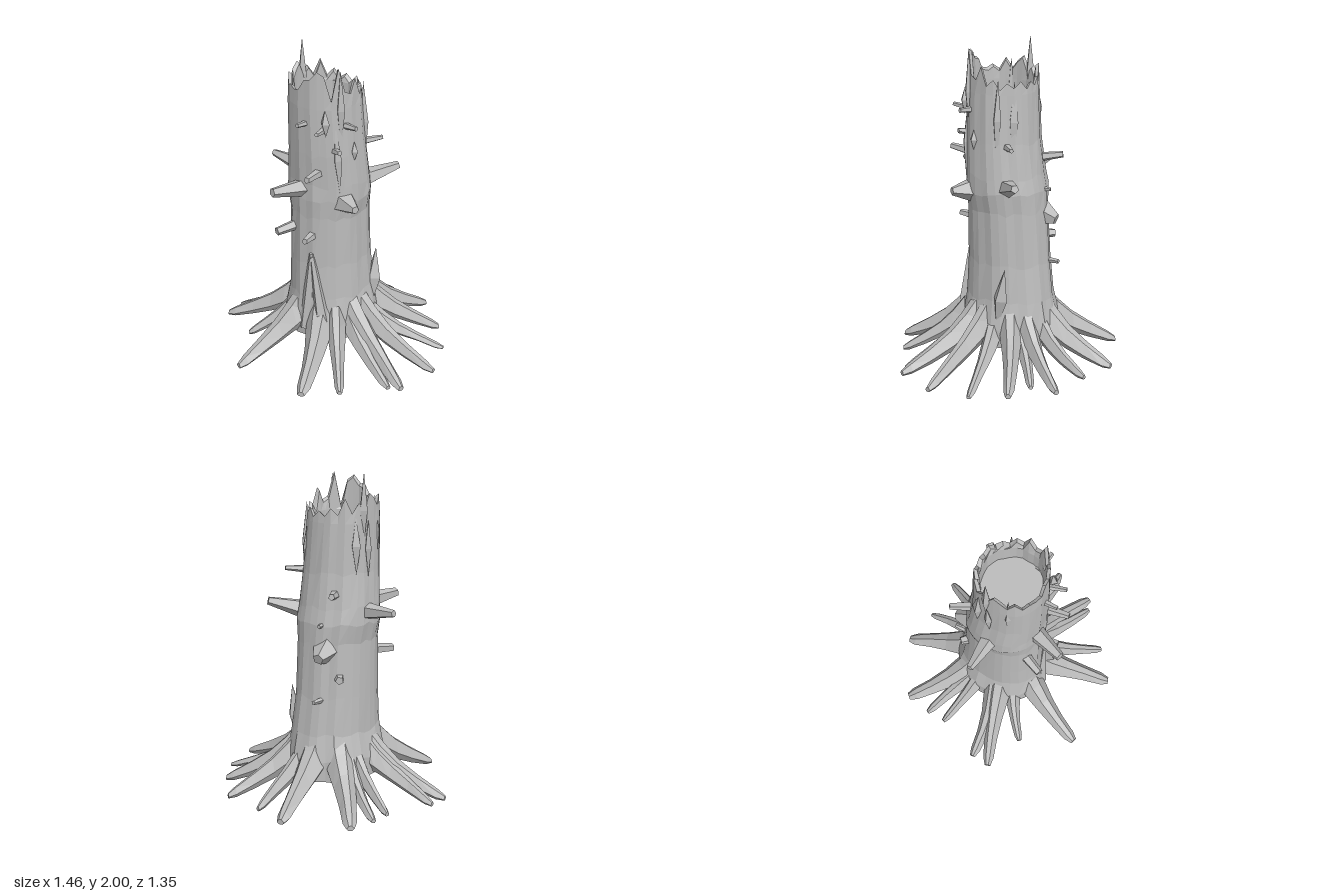
import * as THREE from 'three';

const wood = new THREE.MeshStandardMaterial({ color: 0xbcbcbc, flatShading: true });
wood.name = 'grey wood';
const V = (x, y, z) => new THREE.Vector3(x, y, z);

// Repeatable pseudo-random value in -1..1
const noise = (n) => {
  const s = Math.sin(n * 127.1 + 3.7) * 43758.5453;
  return (s - Math.floor(s)) * 2 - 1;
};

// Skin a series of equal-length rings and close both ends
function loft(rings) {
  const middle = (ring) => {
    const c = V(0, 0, 0);
    ring.forEach((p) => c.add(p));
    c.divideScalar(ring.length);
    return ring.map(() => c);
  };
  const rows = [middle(rings[0]), ...rings, middle(rings[rings.length - 1])];
  const pos = [];
  const tri = (...p) => {
    if (p[0] !== p[1] && p[1] !== p[2] && p[0] !== p[2]) p.forEach((q) => pos.push(q.x, q.y, q.z));
  };
  for (let r = 0; r < rows.length - 1; r++) {
    for (let i = 0; i < rows[r].length; i++) {
      const j = (i + 1) % rows[r].length;
      tri(rows[r][i], rows[r + 1][i], rows[r][j]);
      tri(rows[r][j], rows[r + 1][i], rows[r + 1][j]);
    }
  }
  const g = new THREE.BufferGeometry();
  g.setAttribute('position', new THREE.Float32BufferAttribute(pos, 3));
  g.computeVertexNormals();
  return g;
}

// Hollow trunk with a flared foot and broken, spiky rim
function trunkGeometry() {
  const N = 32;
  const rim = [1.86, 1.78, 1.8, 1.95, 1.75, 1.9, 1.93, 1.88, 1.87, 1.8, 1.79, 1.81, 1.78, 1.85, 1.79, 1.84,
    1.87, 1.78, 1.82, 1.76, 1.85, 1.75, 1.79, 1.74, 1.77, 1.73, 1.78, 1.74, 1.77, 1.73, 1.79, 1.75];
  // y, min x, max x, min z, max z
  const levels = [
    [0.14, -0.34, 0.23, -0.33, 0.3],
    [0.26, -0.335, 0.225, -0.325, 0.305],
    [0.42, -0.295, 0.195, -0.295, 0.285],
    [0.65, -0.29, 0.18, -0.265, 0.27],
    [0.98, -0.285, 0.18, -0.24, 0.265],
    [1.1, -0.305, 0.2, -0.235, 0.27],
    [1.2, -0.3, 0.195, -0.215, 0.265],
    [1.4, -0.28, 0.18, -0.185, 0.27],
    [1.7, -0.275, 0.16, -0.165, 0.27],
    ['rim', -0.27, 0.155, -0.16, 0.265],
    ['rim', -0.25, 0.135, -0.14, 0.245],
    [1.72, -0.245, 0.125, -0.13, 0.24],
    [1.6, -0.24, 0.12, -0.125, 0.235],
  ];
  return loft(levels.map(([y, x0, x1, z0, z1], k) =>
    rim.map((top, i) => {
      const a = (i / N) * Math.PI * 2;
      const bark = 1 + 0.025 * noise(i) + 0.008 * noise(i + k * 40);
      const h = y === 'rim' ? top - (k === 10 ? 0.015 : 0) : y + (k > 0 && k < 8 ? 0.015 * noise(i * 3 + k) : 0);
      return V((x0 + x1) / 2 + ((x1 - x0) / 2) * bark * Math.cos(a), h,
        (z0 + z1) / 2 + ((z1 - z0) / 2) * bark * Math.sin(a));
    })));
}

// Flared root from the trunk down to a ground tip
function rootGeometry(tx, tz, width, height, bend, sx, sz) {
  const dir = V(tx + 0.05, 0, tz).normalize();
  const start = sx === undefined ? V(-0.05 + dir.x * 0.21, 0, dir.z * 0.23) : V(sx, 0, sz);
  const tip = V(tx, 0, tz);
  dir.subVectors(tip, start).normalize();
  const side = V(-dir.z, 0, dir.x);
  const section = [[1, 0.35], [0.45, 0.95], [-0.3, 1], [-1, 0.4], [-0.5, 0], [0.5, 0]];
  // along, top, bottom, half width
  const stations = [[0, 1, 0.17, 1.1], [0.2, 0.73, 0.15, 1], [0.4, 0.52, 0.1, 0.8],
    [0.65, 0.33, 0.05, 0.62], [0.9, 0.16, 0.01, 0.5], [1, 0.08, 0.005, 0.28]];
  return loft(stations.map(([t, top, low, w]) => {
    const c = start.clone().lerp(tip, t).addScaledVector(side, bend * Math.sin(t * Math.PI));
    const base = Math.min(low, top * height * 0.5);
    return section.map(([s, f]) => {
      const p = c.clone().addScaledVector(side, s * w * width);
      p.y = base + (top * height - base) * f;
      return p;
    });
  }));
}

export function createModel() {
  const model = new THREE.Group();
  model.name = 'treeStump';
  const add = (geometry, name) => {
    const mesh = new THREE.Mesh(geometry, wood);
    mesh.name = name;
    model.add(mesh);
    return mesh;
  };
  // Set a y-aligned mesh between two points
  const span = (mesh, a, b) => {
    mesh.position.copy(a).add(b).multiplyScalar(0.5);
    mesh.quaternion.setFromUnitVectors(V(0, 1, 0), b.clone().sub(a).normalize());
  };
  // Tapered peg between two points
  const peg = (name, a, b, r0, r1) => {
    const from = V(...a), to = V(...b);
    span(add(new THREE.CylinderGeometry(r1, r0, from.distanceTo(to), 5), name), from, to);
  };
  // Sliver pointed at both ends
  const sliver = (name, a, b, r) => {
    const from = V(...a), to = V(...b);
    span(add(new THREE.OctahedronGeometry(1).scale(r, from.distanceTo(to) / 2, r), name), from, to);
  };

  add(trunkGeometry(), 'trunk');

  // Roots: tip x, tip z, half width, height, bend, optional start x, z
  [
    [-0.22, -0.67, 0.085, 0.46, 0.01],
    [0.01, -0.63, 0.05, 0.42, 0.02],
    [0.28, -0.62, 0.06, 0.44, 0.01],
    [0.32, -0.46, 0.05, 0.36, -0.01],
    [0.5, -0.43, 0.065, 0.43, -0.01],
    [0.645, -0.25, 0.05, 0.3, 0, 0.2, -0.07],
    [0.725, 0, 0.065, 0.43, 0.01],
    [0.66, 0.27, 0.075, 0.44, -0.01],
    [0.59, 0.305, 0.06, 0.38, 0.01],
    [0.38, 0.52, 0.055, 0.38, 0, 0.13, 0.21],
    [0.2, 0.67, 0.085, 0.46, -0.01],
    [-0.29, 0.67, 0.08, 0.46, 0.01],
    [-0.47, 0.35, 0.05, 0.38, 0.01],
    [-0.725, 0.25, 0.07, 0.43, 0.01],
    [-0.72, 0.13, 0.065, 0.4, -0.02],
    [-0.61, -0.165, 0.05, 0.4, 0],
    [-0.61, -0.29, 0.055, 0.38, 0.01],
    [-0.58, -0.46, 0.085, 0.45, -0.01],
  ].forEach((r) => add(rootGeometry(...r), 'root'));

  // Bark ridges climbing from the roots, forked at the front
  peg('barkRidge', [-0.06, 0.2, 0.265], [-0.015, 0.74, 0.265], 0.055, 0.014);
  peg('barkRidge', [0.08, 0.2, 0.265], [-0.01, 0.72, 0.265], 0.055, 0.014);
  sliver('barkRidge', [0.19, 0.25, -0.09], [0.18, 0.65, -0.15], 0.05);

  // Broken branches: base, tip, base radius, tip radius
  [
    [[-0.24, 1.165, 0.02], [-0.49, 1.19, 0.015], 0.06, 0.022],
    [[-0.09, 1.16, 0.22], [-0.165, 1.19, 0.44], 0.06, 0.028],
    [[0.06, 1.09, 0.1], [0.26, 1.1, 0.195], 0.11, 0.025],
    [[0.11, 1.14, -0.11], [0.25, 1.2, -0.28], 0.06, 0.025],
    [[0.1, 1.59, 0.13], [0.23, 1.6, 0.15], 0.025, 0.014],
    [[-0.05, 1.6, 0.24], [-0.05, 1.615, 0.34], 0.02, 0.013],
    [[0.05, 1.57, 0.22], [0.08, 1.59, 0.33], 0.02, 0.013],
    [[0.02, 1.29, 0.22], [0.045, 1.31, 0.38], 0.03, 0.02],
    [[-0.17, 0.87, 0.21], [-0.22, 0.86, 0.34], 0.035, 0.026],
    [[-0.02, 0.86, 0.23], [0, 0.87, 0.35], 0.03, 0.02],
    [[0.08, 1.44, 0.18], [0.165, 1.455, 0.22], 0.025, 0.016],
    [[0.1, 1.39, -0.1], [0.18, 1.4, -0.2], 0.025, 0.014],
    [[-0.13, 0.95, -0.16], [-0.16, 0.91, -0.28], 0.1, 0.035],
    [[-0.14, 0.64, -0.2], [-0.15, 0.645, -0.31], 0.02, 0.014],
    [[-0.2, 0.78, -0.14], [-0.26, 0.78, -0.2], 0.035, 0.025],
    [[-0.17, 1.28, -0.14], [-0.25, 1.3, -0.26], 0.03, 0.02],
    [[-0.12, 1.1, -0.18], [-0.14, 1.1, -0.25], 0.018, 0.012],
  ].forEach((s) => peg('branchStub', ...s));

  // Splinters and loose bark lying along the upper trunk
  [
    [[-0.28, 1.38, 0.03], [-0.285, 1.72, 0.02], 0.025],
    [[-0.265, 1.4, -0.06], [-0.25, 1.74, -0.05], 0.035],
    [[-0.25, 1.42, 0.14], [-0.235, 1.85, 0.13], 0.03],
    [[-0.262, 1.55, 0.005], [-0.262, 2, 0.005], 0.03],
    [[0.08, 1.54, 0.24], [0.075, 1.71, 0.24], 0.03],
    [[0.178, 1.36, 0.09], [0.175, 1.48, 0.09], 0.025],
    [[0.14, 1.15, 0.18], [0.11, 1.62, 0.19], 0.03],
    [[0.15, 1.3, -0.06], [0.13, 1.8, -0.06], 0.03],
    [[0.13, 1.45, 0.16], [0.13, 1.94, 0.165], 0.03],
    [[0.08, 1.3, -0.13], [0.05, 1.78, -0.12], 0.035],
  ].forEach((s) => sliver('splinter', ...s));

  // Small rootlets under the base
  [[0.03, 0.06, 0.2], [0.06, 0.05, -0.2], [-0.15, 0.07, -0.1]].forEach(([x, y, z]) =>
    peg('rootlet', [x * 0.6, 0.2, z * 0.8], [x, y, z], 0.03, 0.01));

  return model;
}
